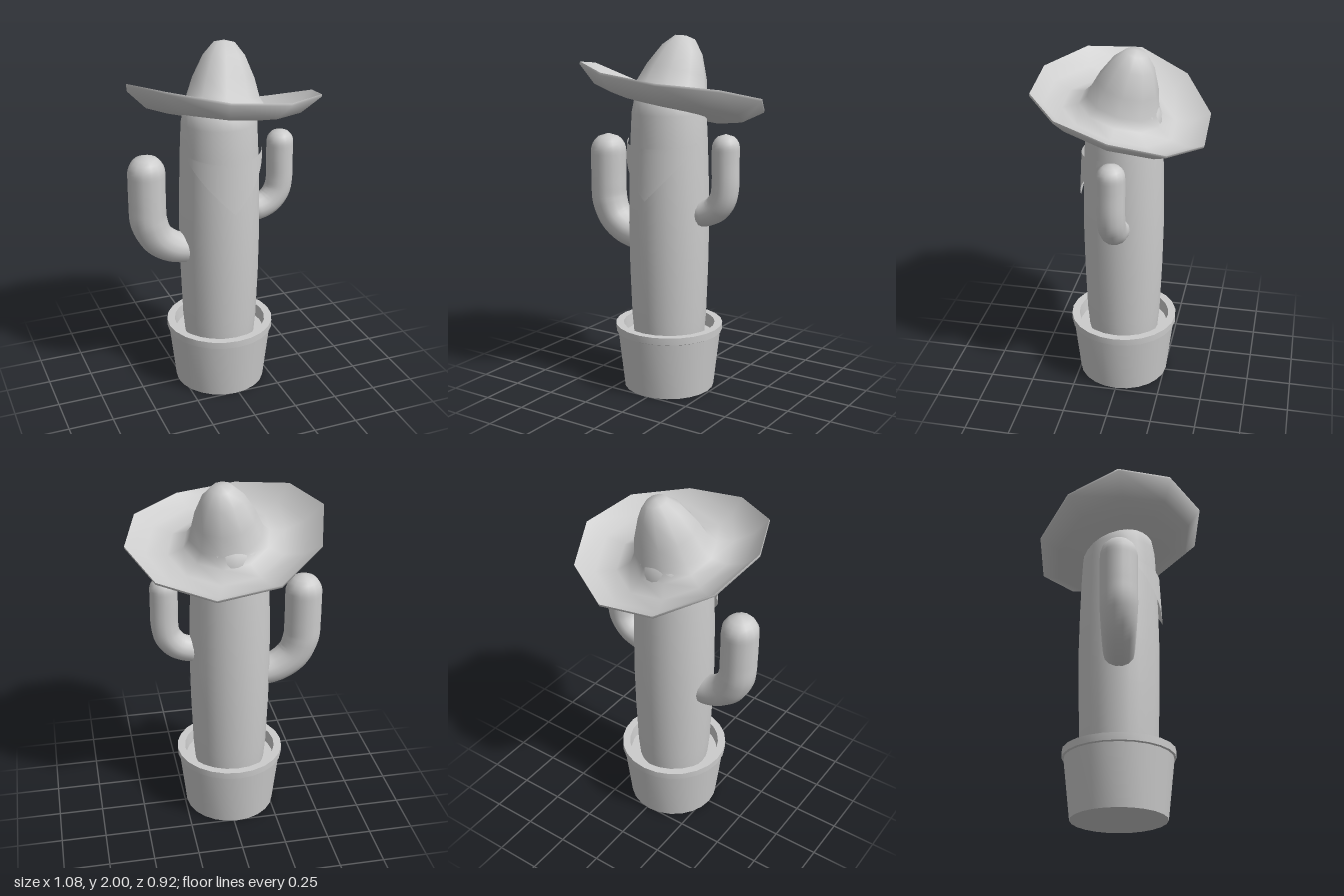
import * as THREE from 'three';
import { mergeVertices, toCreasedNormals } from 'three/addons/utils/BufferGeometryUtils.js';

const CX = -0.02; // axis of the pot and trunk

const grey = (side = THREE.FrontSide) => new THREE.MeshStandardMaterial({ color: 0xcccccc, side });

function part(name, geometry, side) {
  const mesh = new THREE.Mesh(geometry, grey(side));
  mesh.name = name;
  return mesh;
}

function lathe(profile, sides, start = 0) {
  return new THREE.LatheGeometry(profile.map(([r, y]) => new THREE.Vector2(r, y)), sides, start);
}

// Weld, then keep only the edges sharper than the given angle
function crease(geometry, angle) {
  geometry.deleteAttribute('uv');
  geometry.deleteAttribute('normal');
  return toCreasedNormals(mergeVertices(geometry, 1e-4), angle);
}

// Tube with a rounded start and end, and a radius that grows along the bend
function arm(name, points, r0, r1) {
  const curve = new THREE.CatmullRomCurve3(points.map(([x, y]) => new THREE.Vector3(x, y, 0)));
  const rings = 40, sides = 14, length = curve.getLength();
  const geometry = new THREE.TubeGeometry(curve, rings, 1, sides);
  const pos = geometry.attributes.position, v = new THREE.Vector3();
  for (let i = 0; i <= rings; i++) {
    const t = i / rings, centre = curve.getPointAt(t);
    const r = THREE.MathUtils.lerp(r0, r1, Math.min(1, t * 2));
    const d = Math.min(1, (Math.min(t, 1 - t) * length) / r);
    const radius = r * Math.sqrt(1 - (1 - d) ** 2);
    for (let j = 0; j <= sides; j++) {
      const k = i * (sides + 1) + j;
      v.fromBufferAttribute(pos, k).sub(centre).multiplyScalar(radius).add(centre);
      pos.setXYZ(k, v.x, v.y, v.z);
    }
  }
  return part(name, crease(geometry, 1.2));
}

// Ten-sided hat: oval brim, sides curled up higher than front and back
function hat() {
  const geometry = lathe([
    [0, -0.01], [0.18, -0.01], [0.3, -0.005], [0.42, 0.015], [0.525, 0.095],
    [0.525, 0.108], [0.43, 0.04], [0.32, 0.02], [0.235, 0.05], [0.2, 0.1],
    [0.17, 0.2], [0.115, 0.32], [0.058, 0.388], [0, 0.4],
  ], 10, 0.375);
  const pos = geometry.attributes.position;
  for (let i = 0; i < pos.count; i++) {
    const x = pos.getX(i), z = pos.getZ(i), r2 = x * x + z * z;
    pos.setXYZ(i, x * (1 + 0.1 * r2), pos.getY(i) + 0.16 * (x * x - z * z), z * (1 - 0.2 * r2));
  }
  const mesh = part('hat', crease(geometry, 1.2));
  mesh.position.set(-0.012, 1.612, 0.025);
  mesh.rotation.set(-0.265, 0, -0.13);
  return mesh;
}

// Triangular cloth wrapped round the front of the trunk
function neckerchief() {
  const geometry = new THREE.PlaneGeometry(2, 1, 24, 8);
  const pos = geometry.attributes.position;
  for (let i = 0; i < pos.count; i++) {
    const u = pos.getX(i), v = pos.getY(i) + 0.5;
    const angle = u * 1.27;
    const top = 1.405 + 0.03 * u * u, bottom = 1.12 + 0.31 * Math.abs(u);
    const r = 0.232 + 0.014 * (1 - v) * (1 - Math.abs(u));
    pos.setXYZ(i, CX + r * Math.sin(angle), THREE.MathUtils.lerp(bottom, top, v), r * Math.cos(angle));
  }
  geometry.computeVertexNormals();
  return part('neckerchief', geometry, THREE.DoubleSide);
}

export function createModel() {
  const model = new THREE.Group();
  model.name = 'pottedCactus';

  // Pot with a raised rim, and the soil inside
  const pot = part('pot', crease(lathe([
    [0, 0], [0.258, 0], [0.295, 0.33], [0.305, 0.335], [0.306, 0.375],
    [0.262, 0.375], [0.255, 0.29],
  ], 24), 0.6));
  const soil = part('soil', new THREE.CircleGeometry(0.257, 24).rotateX(-Math.PI / 2));
  soil.position.y = 0.3;

  // Trunk, swelling slightly in the middle and domed under the hat
  const trunk = part('trunk', lathe([
    [0.2, 0.29], [0.212, 0.42], [0.222, 0.7], [0.226, 0.95], [0.222, 1.2], [0.215, 1.42],
    [0.207, 1.58], [0.193, 1.65], [0.15, 1.7], [0, 1.73],
  ], 24));
  for (const mesh of [pot, soil, trunk]) mesh.position.x = CX;
  model.add(pot, soil, trunk);

  model.add(
    arm('rightArm', [[-0.13, 0.855], [-0.22, 0.857], [-0.31, 0.885], [-0.39, 0.95],
      [-0.432, 1.05], [-0.437, 1.15], [-0.437, 1.3], [-0.437, 1.435]], 0.08, 0.102),
    arm('leftArm', [[0.13, 1.035], [0.21, 1.038], [0.28, 1.068], [0.328, 1.13],
      [0.342, 1.2], [0.342, 1.34], [0.342, 1.487]], 0.073, 0.076),
    neckerchief(),
    hat(),
  );
  return model;
}
